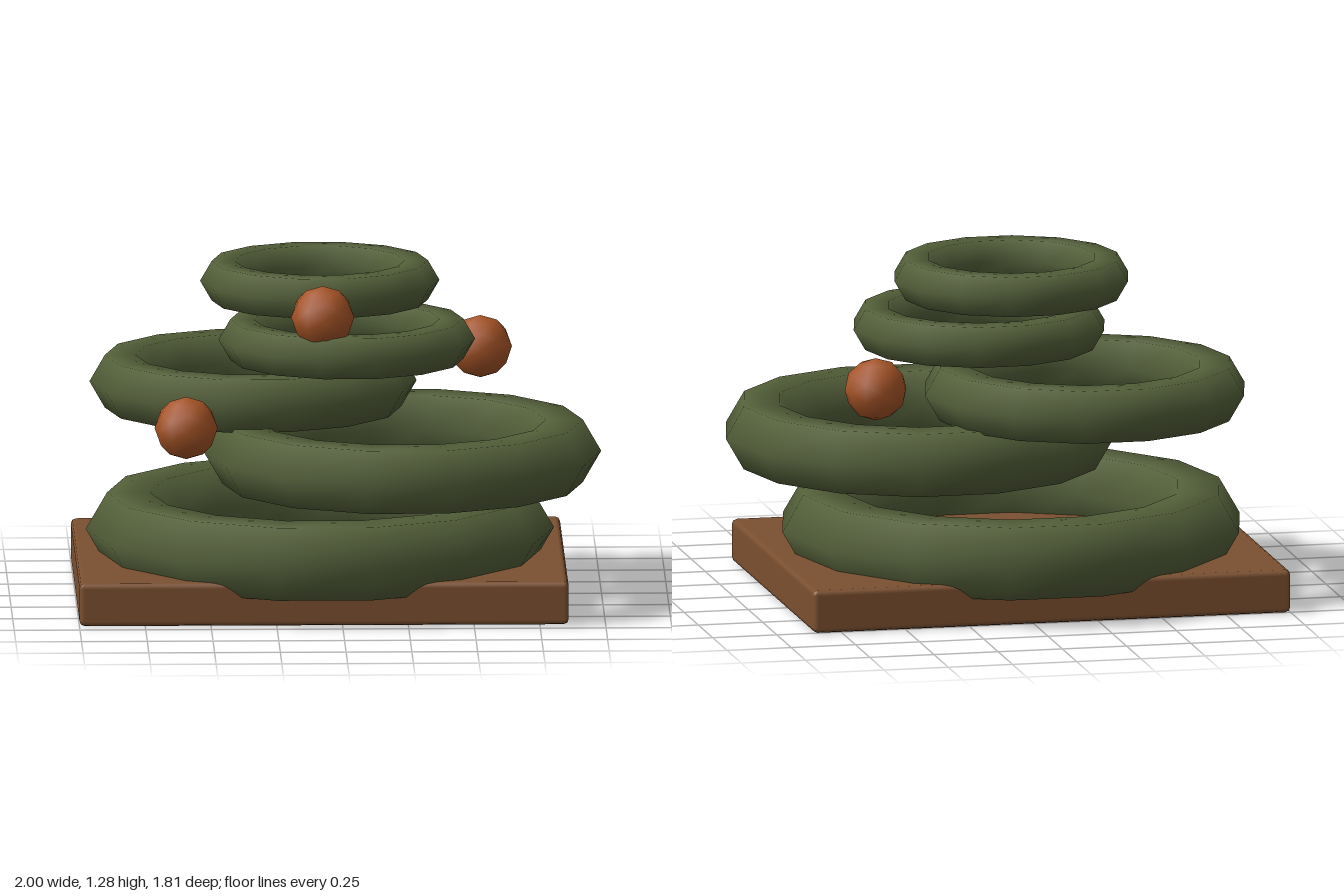
import * as THREE from 'three';
import { RoundedBoxGeometry } from 'three/addons/geometries/RoundedBoxGeometry.js';

export function createModel() {
  const model = new THREE.Group();
  const green = new THREE.MeshStandardMaterial({ color: 0x535f39 });
  green.name = 'mossGreen';
  const brown = new THREE.MeshStandardMaterial({ color: 0x7b5030 });
  brown.name = 'woodBrown';
  const rust = new THREE.MeshStandardMaterial({ color: 0xa65427 });
  rust.name = 'rustOrange';

  const add = (name, geometry, material, x, y, z) => {
    const mesh = new THREE.Mesh(geometry, material);
    mesh.name = name;
    mesh.position.set(x, y, z);
    model.add(mesh);
  };

  // Slab base with bevelled edges
  add('base', new RoundedBoxGeometry(1.86, 0.165, 1.45, 1, 0.02), brown, -0.07, 0.0825, -0.04);

  // Stacked, offset rings with a hexagonal section: [ring radius, tube radius, x, y, z]
  const rings = [
    [0.728, 0.162, -0.07, 0.25, -0.04],
    [0.615, 0.14, 0.24, 0.58, 0.165],
    [0.505, 0.117, -0.32, 0.79, -0.205],
    [0.398, 0.09, 0.03, 0.998, 0.07],
    [0.367, 0.088, -0.07, 1.205, -0.045],
  ];
  rings.forEach(([radius, tube, x, y, z], i) => {
    const geometry = new THREE.TorusGeometry(radius, tube, 6, 14);
    geometry.rotateX(Math.PI / 2);
    add(`ring${i + 1}`, geometry, green, x, y, z);
  });

  // Floating balls around the rings
  const balls = [
    [-0.59, 0.73, 0.478],
    [0.55, 0.875, -0.455],
    [-0.07, 1.145, 0.42],
  ];
  balls.forEach(([x, y, z], i) =>
    add(`ball${i + 1}`, new THREE.IcosahedronGeometry(0.12, 1), rust, x, y, z));

  return model;
}
